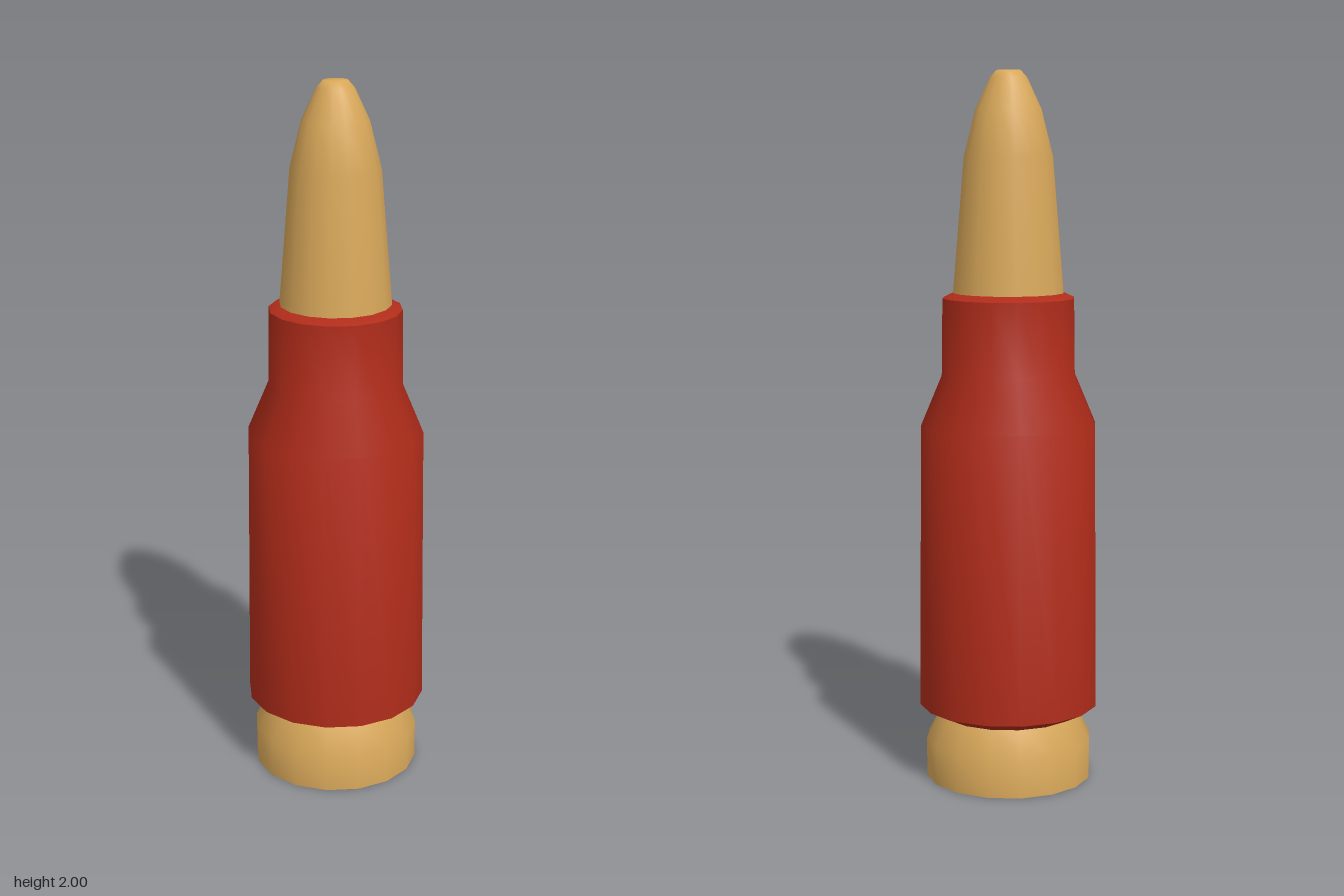
import * as THREE from 'three';
import { toCreasedNormals } from 'three/addons/utils/BufferGeometryUtils.js';

const SIDES = 16;
const TURN = THREE.MathUtils.degToRad(15);

// Turned part from a [radius, height] profile listed bottom to top
function turned(name, color, profile, crease) {
  const points = profile.map(([r, y]) => new THREE.Vector2(r, y));
  let geometry = new THREE.LatheGeometry(points, SIDES, TURN);
  if (crease) geometry = toCreasedNormals(geometry, crease);
  const mesh = new THREE.Mesh(geometry, new THREE.MeshStandardMaterial({ color }));
  mesh.name = name;
  return mesh;
}

export function createModel() {
  const group = new THREE.Group();
  group.name = 'cartridge';
  const brass = 0xd9a85a;
  const red = 0xb02c1a;

  // Rim with a flat underside, tapering into the extractor groove
  group.add(turned('rim', brass, [
    [0, 0], [0.237, 0], [0.237, 0.11], [0.197, 0.19], [0, 0.19],
  ], 0.6));

  // Case body, sloped shoulder, neck and bevelled mouth
  group.add(turned('case', red, [
    [0, 0.185], [0.2, 0.185], [0.256, 0.213], [0.248, 1.02],
    [0.189, 1.16], [0.186, 1.375], [0.155, 1.39], [0, 1.39],
  ], 0.6));

  // Smooth rounded bullet
  group.add(turned('bullet', brass, [
    [0.157, 1.38], [0.125, 1.765], [0.092, 1.895], [0.052, 1.98], [0.034, 2], [0, 2],
  ]));

  return group;
}
